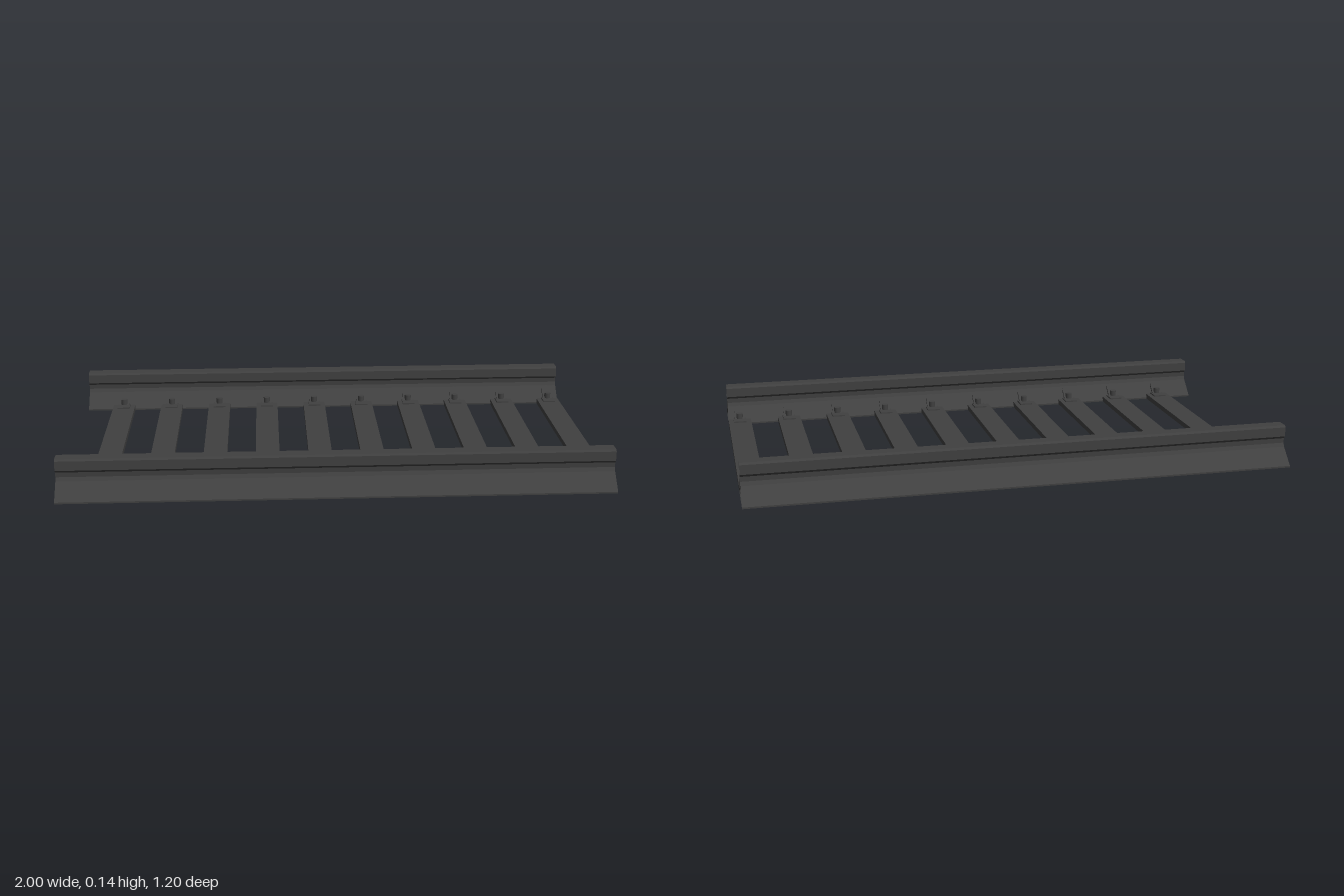
import * as THREE from 'three';

const steel = new THREE.MeshStandardMaterial({ color: 0x404040 });
const railSteel = new THREE.MeshStandardMaterial({ color: 0x404040, side: THREE.DoubleSide });

function part(name, geometry, material = steel) {
  const mesh = new THREE.Mesh(geometry, material);
  mesh.name = name;
  return mesh;
}

// Rail shell: a symmetric [z, y] section swept along x, open at both ends
function railGeometry() {
  const half = [[0.085, 0], [0.085, 0.006], [0.026, 0.062], [0.019, 0.076], [0.02, 0.094],
    [0.028, 0.103], [0.028, 0.138], [0.023, 0.145]];
  const section = [...half, ...half.map(([z, y]) => [-z, y]).reverse()];
  const positions = [];
  section.forEach(([z0, y0], i) => {
    const [z1, y1] = section[(i + 1) % section.length];
    positions.push(-1, y0, z0, 1, y0, z0, 1, y1, z1);
    positions.push(-1, y0, z0, 1, y1, z1, -1, y1, z1);
  });
  const geometry = new THREE.BufferGeometry();
  geometry.setAttribute('position', new THREE.Float32BufferAttribute(positions, 3));
  geometry.computeVertexNormals();
  return geometry;
}

// Tongue with a rounded tip, tilted to lie on the slope of the rail foot
function tongueGeometry() {
  const r = 0.02, length = 0.066;
  const shape = new THREE.Shape();
  shape.moveTo(-r, 0);
  shape.lineTo(r, 0);
  shape.lineTo(r, length - r);
  shape.absarc(0, length - r, r, 0, Math.PI, false);
  shape.closePath();
  return new THREE.ExtrudeGeometry(shape, { depth: 0.008, bevelEnabled: false, curveSegments: 10 })
    .rotateX(Math.PI / 4)
    .translate(0, 0.022, 0.424);
}

export function createModel() {
  const model = new THREE.Group();
  model.name = 'trackSection';

  // Two rails
  const railGeo = railGeometry();
  for (const side of [1, -1]) {
    const rail = part(side > 0 ? 'frontRail' : 'backRail', railGeo, railSteel);
    rail.position.z = side * 0.515;
    model.add(rail);
  }

  // Sleepers with a fastening clip on the inner foot of each rail
  const sleeperGeo = new THREE.BoxGeometry(0.09, 0.02, 0.88);
  const plateGeo = new THREE.BoxGeometry(0.05, 0.006, 0.055).translate(0, 0.022, 0.414);
  const tongueGeo = tongueGeometry();
  const boltGeo = new THREE.CylinderGeometry(0.013, 0.013, 0.028, 12).translate(0, 0.033, 0.434);
  for (let i = 0; i < 10; i++) {
    const x = -0.85 + i * 0.2006;
    const sleeper = part('sleeper', sleeperGeo);
    sleeper.position.set(x, 0.01, 0);
    model.add(sleeper);
    for (const turn of [0, Math.PI]) {
      const clip = new THREE.Group();
      clip.name = 'railClip';
      clip.add(part('clipPlate', plateGeo), part('clipTongue', tongueGeo), part('clipBolt', boltGeo));
      clip.position.x = x;
      clip.rotation.y = turn;
      model.add(clip);
    }
  }
  return model;
}
